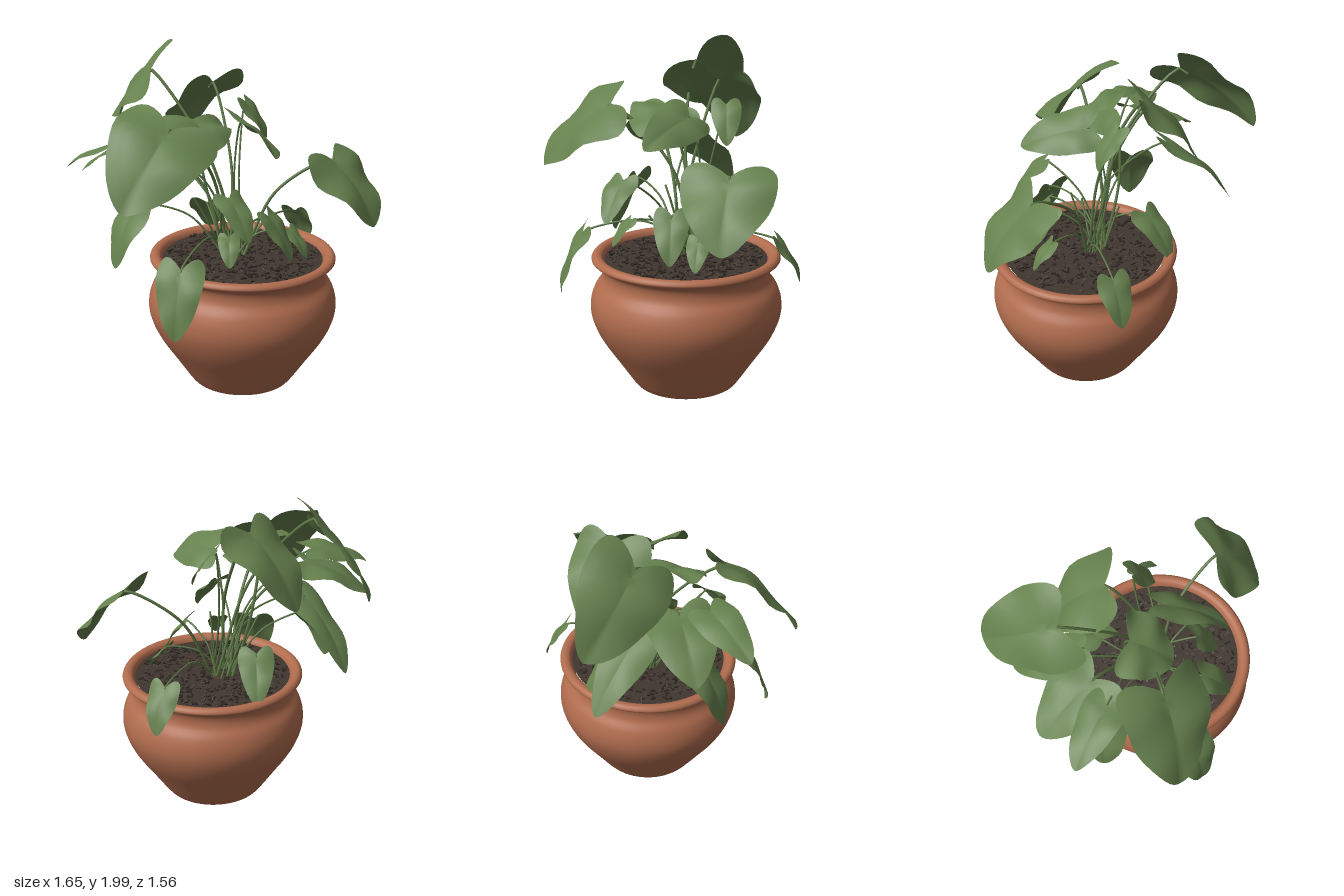
import * as THREE from 'three';
import { mergeGeometries } from 'three/addons/utils/BufferGeometryUtils.js';

const mat = (name, color, side = THREE.FrontSide) => {
  const m = new THREE.MeshStandardMaterial({ color, side });
  m.name = name;
  return m;
};

// Seeded random numbers
function makeRandom(seed) {
  return () => {
    seed = (seed * 16807) % 2147483647;
    return seed / 2147483647;
  };
}

// Heart outline of unit length: notch at y = 0, tip at y = 1
function heartPoint(angle) {
  const s = Math.sin(angle), c = Math.cos(angle), q = (1 - c) / 2;
  return [0.53 * s * (1 - 0.4 * q * q), q - Math.abs(s) * (0.28 + 0.22 * c)];
}

// Leaf blade: rings growing from the midrib to the outline, arched, cupped and rippled
function leafGeometry(base, tip, width, roll, phase) {
  const n = 40, rings = 6, cy = 0.12;
  const along = tip.clone().sub(base), length = along.length();
  along.normalize();
  const level = along.clone().cross(new THREE.Vector3(0, 1, 0)).normalize();
  const side = level.applyAxisAngle(along, -THREE.MathUtils.degToRad(roll));
  const normal = side.clone().cross(along);

  const positions = [], index = [];
  const add = (x, y) => {
    const bow = 0.08 * (y > 0 ? 4 * y * (1 - y) : 2 * y) * length;
    const cup = (0.2 * Math.abs(x) - 0.62 * x * x) * width;
    const ripple = 0.1 * Math.abs(x) * Math.sin(y * 9 + phase + (x > 0 ? 1.5 : 0)) * width;
    const p = base.clone().addScaledVector(side, x * width)
      .addScaledVector(along, y * length).addScaledVector(normal, bow + cup + ripple);
    positions.push(p.x, p.y, p.z);
  };
  add(0, cy);
  for (let r = 1; r <= rings; r++) {
    for (let i = 0; i < n; i++) {
      const [x, y] = heartPoint((i / n) * Math.PI * 2);
      add(x * r / rings, cy + (y - cy) * r / rings);
    }
  }
  for (let i = 0; i < n; i++) {
    const j = (i + 1) % n;
    index.push(0, 1 + i, 1 + j);
    for (let r = 0; r < rings - 1; r++) {
      const a = 1 + r * n + i, b = 1 + r * n + j;
      index.push(a, a + n, b + n, a, b + n, b);
    }
  }
  const g = new THREE.BufferGeometry();
  g.setAttribute('position', new THREE.Float32BufferAttribute(positions, 3));
  g.setIndex(index);
  g.computeVertexNormals();
  return g;
}

export function createModel() {
  const terracotta = mat('terracotta', 0xb06c4e);
  const leafGreen = mat('leafGreen', 0x66814e, THREE.DoubleSide);
  const stemGreen = mat('stemGreen', 0x5f7a48);
  const soilBrown = mat('soilBrown', 0x40362f);
  const chipBrown = mat('chipBrown', 0x2e2622);
  const barkBrown = mat('barkBrown', 0x4c4037);

  const model = new THREE.Group();
  model.name = 'pottedPlant';
  const random = makeRandom(71);
  const mesh = (name, geometry, material, parent = model) => {
    const m = new THREE.Mesh(geometry, material);
    m.name = name;
    parent.add(m);
    return m;
  };

  // Pot with rolled rim and closed base
  const pot = new THREE.Group();
  pot.name = 'pot';
  pot.position.set(0.11, 0, 0.22);
  model.add(pot);
  const profile = new THREE.SplineCurve([[0.285, 0], [0.312, 0.015], [0.41, 0.16], [0.505, 0.305], [0.553, 0.42],
    [0.56, 0.51], [0.537, 0.59], [0.497, 0.65], [0.487, 0.7], [0.502, 0.74], [0.55, 0.77], [0.53, 0.8],
    [0.487, 0.785], [0.46, 0.7]].map(([x, y]) => new THREE.Vector2(x, y)));
  mesh('potWall', new THREE.LatheGeometry(profile.getPoints(65), 64), terracotta, pot);
  mesh('potBase', new THREE.CircleGeometry(0.285, 64).rotateX(Math.PI / 2), terracotta, pot);

  // Soil covered in bark chips
  mesh('soil', new THREE.CircleGeometry(0.475, 48).rotateX(-Math.PI / 2), soilBrown, pot).position.y = 0.768;
  const chips = [];
  for (let i = 0; i < 640; i++) {
    const r = 0.45 * Math.sqrt(random()), a = random() * Math.PI * 2;
    const chip = new THREE.BoxGeometry(0.015 + random() * 0.025, 0.006, 0.006 + random() * 0.008);
    chip.rotateZ((random() - 0.5) * 0.7).rotateY(random() * Math.PI);
    chips.push(chip.translate(r * Math.cos(a), 0.77 + random() * 0.015, r * Math.sin(a)));
  }
  const half = chips.length / 2;
  mesh('darkChips', mergeGeometries(chips.slice(0, half)), chipBrown, pot);
  mesh('barkChips', mergeGeometries(chips.slice(half)), barkBrown, pot);

  // A leaf on a stem that rises from the crown and arches over into the notch
  let count = 0;
  const addLeaf = (name, base, tip, width, roll = 0) => {
    const plant = new THREE.Group();
    plant.name = name;
    model.add(plant);
    const angle = count++ * 2.4;
    mesh('blade', leafGeometry(base, tip, width, roll, angle), leafGreen, plant);
    const root = new THREE.Vector3(0.08 + 0.06 * Math.cos(angle), 0.75, 0.16 + 0.06 * Math.sin(angle));
    const middle = root.clone().lerp(base, 0.5);
    middle.y += 0.2 * Math.hypot(base.x - root.x, base.z - root.z);
    middle.x -= 0.25 * (tip.x - base.x);
    middle.z -= 0.25 * (tip.z - base.z);
    const path = new THREE.CatmullRomCurve3([root, middle, base, base.clone().lerp(tip, 0.1)]);
    mesh('stem', new THREE.TubeGeometry(path, 20, width > 0.35 ? 0.009 : 0.006, 6), stemGreen, plant);
  };

  // Large leaves: notch, tip, width, roll in degrees
  const large = (name, base, tip, width, roll) =>
    addLeaf(name, new THREE.Vector3(...base), new THREE.Vector3(...tip), width, roll);
  large('backTallLeaf', [-0.19, 1.83, -0.33], [-0.17, 1.47, -0.77], 0.53, 46);
  large('backUpperLeaf', [0.11, 1.76, -0.12], [0.04, 1.36, -0.43], 0.48);
  large('bigRightLeaf', [-0.4, 1.62, 0.26], [-0.79, 1.24, 0.42], 0.6, 27);
  large('bigLeftLeaf', [0.56, 1.36, 0.47], [0.68, 1, 0.73], 0.54);
  large('backRightLeaf', [-0.33, 1.48, -0.12], [-0.63, 1.26, -0.39], 0.42);
  large('sideHighLeaf', [-0.48, 1.5, -0.03], [-0.83, 1.37, -0.16], 0.27, -11);
  large('backLowLeaf', [-0.17, 1.36, -0.26], [-0.14, 1, -0.65], 0.29, 15);
  large('centreLeaf', [-0.13, 1.6, 0.05], [-0.16, 1.46, 0.3], 0.46, 10);
  large('frontUpperLeaf', [0.11, 1.59, 0.19], [0.08, 1.46, 0.58], 0.31, 38);

  // Small leaves: notch, heading and droop in degrees, width
  const small = (name, x, y, z, heading, droop, width) => {
    const base = new THREE.Vector3(x, y, z), rad = THREE.MathUtils.degToRad;
    const tip = new THREE.Vector3().setFromSphericalCoords(1.4 * width, rad(90 + droop), rad(heading)).add(base);
    addLeaf(name, base, tip, width);
  };
  small('sideLowLeaf', -0.45, 1.11, -0.05, -85, 66, 0.28);
  small('droopingLeaf', -0.46, 0.88, 0.47, -45, 70, 0.28);
  small('rimLeaf', 0.62, 0.91, 0.04, 115, 62, 0.2);
  small('frontHangingLeaf', -0.15, 1.24, 0.47, 4, 50, 0.2);
  small('frontLowLeaf', 0.15, 1.07, 0.42, 30, 60, 0.21);
  small('smallLeftLeaf', 0.32, 0.95, 0.4, 24, 53, 0.14);
  small('smallRightLeaf', -0.13, 1, 0.44, -30, 54, 0.13);
  small('innerLeaf', 0.25, 1.65, 0.02, 35, 58, 0.18);
  small('innerBackLeaf', 0.08, 1.01, -0.14, 140, 50, 0.22);

  // Young bare shoots at the crown
  for (let i = 0; i < 5; i++) {
    const a = i * 1.25, h = 0.15 + random() * 0.25;
    const foot = new THREE.Vector3(0.08 + 0.05 * Math.cos(a), 0.75, 0.16 + 0.05 * Math.sin(a));
    const top = foot.clone().add(new THREE.Vector3(0.12 * Math.cos(a) - 0.08, h, 0.1 * Math.sin(a)));
    const mid = foot.clone().lerp(top, 0.5).setY(foot.y + h * 0.6);
    mesh('shoot', new THREE.TubeGeometry(new THREE.QuadraticBezierCurve3(foot, mid, top), 10, 0.006, 6), stemGreen);
  }
  return model;
}
